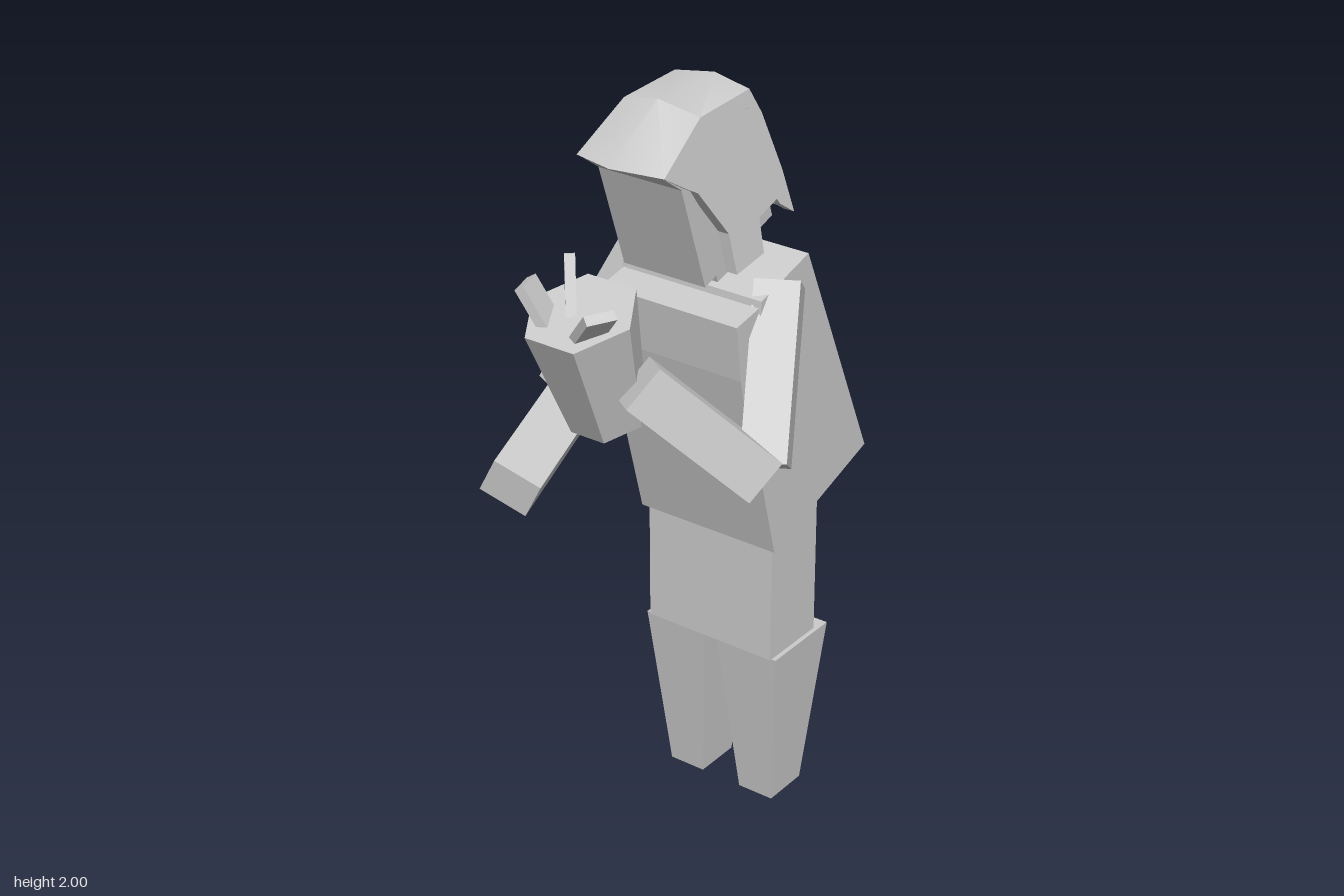
import * as THREE from 'three';
import { toCreasedNormals } from 'three/addons/utils/BufferGeometryUtils.js';

const mat = new THREE.MeshStandardMaterial({ color: 0xcccccc, flatShading: true });
const shellMat = new THREE.MeshStandardMaterial({ color: 0xcccccc, side: THREE.DoubleSide });

function add(parent, name, geometry, material = mat) {
  const mesh = new THREE.Mesh(geometry, material);
  mesh.name = name;
  parent.add(mesh);
  return mesh;
}

// Side profile given as [z, y] points, extruded across x from x0 to x1
function prism(points, x0, x1) {
  const shape = new THREE.Shape(points.map(([z, y]) => new THREE.Vector2(z, y)));
  const g = new THREE.ExtrudeGeometry(shape, { depth: x1 - x0, bevelEnabled: false });
  return g.rotateY(-Math.PI / 2).translate(x1, 0, 0);
}

// Box running from point a to point b, rolled about its own length
function limb(parent, name, a, b, width, height, roll = 0) {
  const start = new THREE.Vector3(...a), end = new THREE.Vector3(...b);
  const mesh = add(parent, name, new THREE.BoxGeometry(width, height, start.distanceTo(end)));
  mesh.position.copy(start).lerp(end, 0.5);
  mesh.lookAt(end);
  mesh.rotateZ(roll);
  return mesh;
}

// Box whose bottom is narrower than its top
function taperedBox(w, h, d, sx, sz) {
  const g = new THREE.BoxGeometry(w, h, d);
  const p = g.attributes.position;
  for (let i = 0; i < p.count; i++) {
    if (p.getY(i) < 0) p.setXYZ(i, p.getX(i) * sx, p.getY(i), p.getZ(i) * sz);
  }
  g.computeVertexNormals();
  return g;
}

// Helmet half width grows towards the rim
const helmetX = (y) => 0.103 + 0.17 * (2 - y);

function buildHelmet() {
  const helmet = new THREE.Group();
  helmet.name = 'helmet';
  const ridge = [[0.285, 1.89], [0.105, 2], [-0.11, 2], [-0.155, 1.93], [-0.21, 1.765], [-0.235, 1.66]];
  const edge = [[0.245, 1.882], [0.09, 1.975], [-0.1, 1.985], [-0.135, 1.92], [-0.185, 1.77], [-0.21, 1.66]];

  // Crown: a strip from brim to nape, raised along the middle
  const pos = [], idx = [];
  ridge.forEach(([rz, ry], r) => {
    const [ez, ey] = edge[r];
    const x = helmetX(ey);
    pos.push(-x, ey, ez, 0, ry, rz, x, ey, ez);
    if (r === ridge.length - 1) return;
    for (let c = 0; c < 2; c++) {
      const a = r * 3 + c;
      idx.push(a, a + 1, a + 3, a + 1, a + 4, a + 3);
    }
  });
  const crown = new THREE.BufferGeometry();
  crown.setAttribute('position', new THREE.Float32BufferAttribute(pos, 3));
  crown.setIndex(idx);
  add(helmet, 'helmetCrown', toCreasedNormals(crown, 0.5), shellMat);

  // Side panels with a cheek flap and a notch behind it
  const panel = [...edge, [-0.16, 1.695], [-0.15, 1.71], [-0.075, 1.69], [-0.075, 1.605],
    [0.035, 1.59], [0.045, 1.69], [0.135, 1.815], [0.17, 1.835]];
  for (const side of [-1, 1]) {
    const g = side > 0 ? prism(panel, -0.03, 0) : prism(panel, 0, 0.03);
    const p = g.attributes.position;
    for (let i = 0; i < p.count; i++) p.setX(i, p.getX(i) + side * helmetX(p.getY(i)));
    g.computeVertexNormals();
    add(helmet, side > 0 ? 'leftHelmetSide' : 'rightHelmetSide', g);
  }

  add(helmet, 'brimUnderside', prism([[0.245, 1.882], [0.17, 1.828], [0.12, 1.828], [0.1, 1.9]], -0.118, 0.118));
  return helmet;
}

function buildCup() {
  const cup = new THREE.Group();
  cup.name = 'cup';
  // Six-sided cup leaning forward
  const body = add(cup, 'cupBody', new THREE.CylinderGeometry(0.14, 0.097, 0.313, 6, 1, false, Math.PI / 6));
  body.position.set(-0.033, 1.406, 0.305);
  body.rotation.x = 0.31;
  // Flat sticks standing in the cup
  const sticks = [
    [[-0.055, 1.48, 0.36], [-0.105, 1.665, 0.3], 0.025, 0.08],
    [[-0.07, 1.48, 0.38], [-0.15, 1.62, 0.405], 0.075, 0.025],
    [[-0.02, 1.48, 0.38], [0.085, 1.605, 0.43], 0.075, 0.025],
  ];
  for (const [a, b, w, h] of sticks) limb(cup, 'stick', a, b, w, h);
  return cup;
}

export function createModel() {
  const model = new THREE.Group();
  model.name = 'figure';

  // Legs
  for (const [side, thighX, shinX] of [['left', 0.09, 0.1], ['right', -0.1, -0.122]]) {
    const w = side === 'left' ? 0.18 : 0.2;
    add(model, side + 'Thigh', new THREE.BoxGeometry(w, 0.43, 0.195)).position.set(thighX, 0.685, -0.2125);
    add(model, side + 'Shin', taperedBox(0.184, 0.47, 0.232, 0.56, 0.56)).position.set(shinX, 0.235, -0.237);
  }

  // Torso leaning forward, with a lower chest block in front
  add(model, 'torso', prism([[-0.09, 0.805], [-0.485, 0.94], [-0.21, 1.565], [-0.02, 1.51], [0.015, 1.2]], -0.204, 0.204));
  add(model, 'chest', prism([[-0.06, 1.0], [-0.06, 1.5], [0.07, 1.475], [0.052, 1.33], [0.02, 1.18]], -0.198, 0.198));

  // Neck and head share the forward lean
  const neck = add(model, 'neck', new THREE.BoxGeometry(0.14, 0.16, 0.11));
  neck.position.set(-0.005, 1.565, -0.08);
  neck.rotation.x = 0.32;
  const head = add(model, 'head', new THREE.BoxGeometry(0.235, 0.32, 0.28));
  head.position.set(-0.005, 1.753, -0.005);
  head.rotation.x = 0.325;
  model.add(buildHelmet());

  // Arms: the left one holds the cup, the right one reaches forward
  limb(model, 'leftUpperArm', [0.185, 1.515, -0.12], [0.295, 1.155, 0.085], 0.11, 0.125);
  limb(model, 'leftForearm', [0.3, 1.14, 0.115], [0.095, 1.4, 0.31], 0.1, 0.12, 0.2);
  limb(model, 'rightUpperArm', [-0.185, 1.515, -0.12], [-0.295, 1.165, 0.085], 0.11, 0.125);
  limb(model, 'rightForearm', [-0.29, 1.165, 0.05], [-0.165, 1.11, 0.465], 0.125, 0.1, -0.47);

  model.add(buildCup());
  return model;
}
